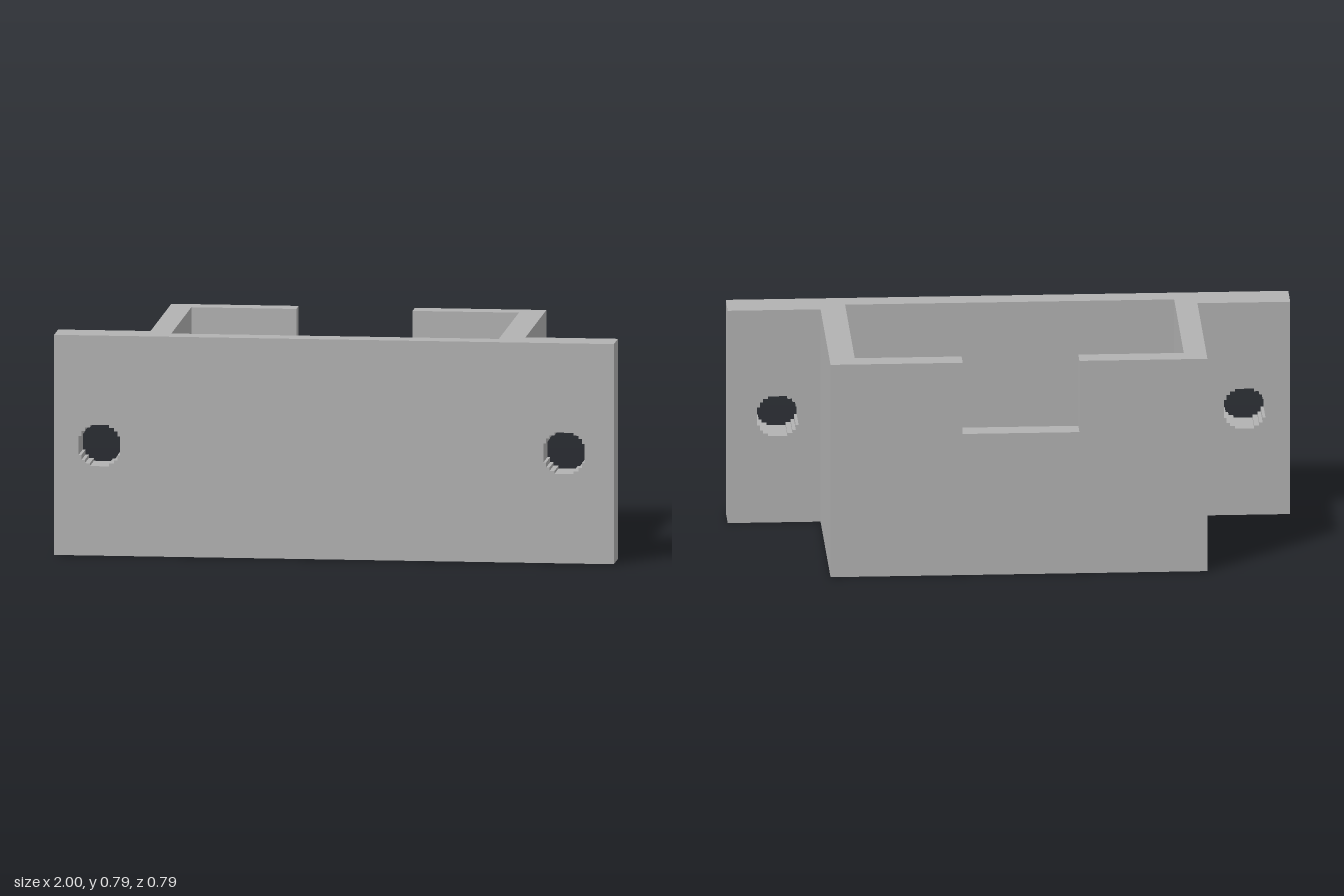
import * as THREE from 'three';

const H = 0.79, FRONT = 0.395, BACK = -0.395;
const OUT = 0.67;                                        // half width of the box
const IN = { x0: -0.59, x1: 0.58, z0: -0.32, z1: 0.315 }; // cavity
const FLOOR = 0.07, FLANGE_BACK = 0.265, HOLE_Y = 0.395;

// Closed path class (Shape or Path) from [x, y] pairs
const outline = (points, Type = THREE.Shape) =>
  new Type(points.map(([x, y]) => new THREE.Vector2(x, y)));

const rect = (x0, y0, x1, y1) => [[x0, y0], [x1, y0], [x1, y1], [x0, y1]];

// Stepped round screw hole, one quarter rotated four times
function steppedHole(cx, cy) {
  const quarter = [[0.074, 0.034], [0.064, 0.034], [0.064, 0.052], [0.052, 0.052],
    [0.052, 0.064], [0.034, 0.064], [0.034, 0.074]];
  const points = [];
  for (let i = 0; i < 4; i++) {
    const c = [1, 0, -1, 0][i], s = [0, 1, 0, -1][i];
    for (const [x, y] of quarter) points.push([cx + c * x - s * y, cy + s * x + c * y]);
  }
  return outline(points, THREE.Path);
}

export function createModel() {
  const group = new THREE.Group();
  group.name = 'mountingBox';
  const grey = new THREE.MeshStandardMaterial({ color: 0xb2b2b2 });
  grey.name = 'grey plastic';

  const add = (name, geometry) => {
    const mesh = new THREE.Mesh(geometry, grey);
    mesh.name = name;
    group.add(mesh);
    return mesh;
  };
  const block = (name, x0, x1, z0, z1) =>
    add(name, new THREE.BoxGeometry(x1 - x0, H, z1 - z0))
      .position.set((x0 + x1) / 2, H / 2, (z0 + z1) / 2);
  const extrude = (shape, depth) =>
    new THREE.ExtrudeGeometry(shape, { depth, bevelEnabled: false });

  // Front and side walls
  block('frontWall', -OUT, OUT, IN.z1, FRONT);
  block('leftWall', IN.x1, OUT, IN.z0, IN.z1);
  block('rightWall', -OUT, IN.x0, IN.z0, IN.z1);

  // Back wall with the cable notch in its top edge
  const back = outline([[-OUT, 0], [OUT, 0], [OUT, H], [0.2, H], [0.2, 0.525],
    [-0.215, 0.525], [-0.215, H], [-OUT, H]]);
  add('backWall', extrude(back, IN.z0 - BACK)).position.z = BACK;

  // Floor ledge around the rectangular opening (shape y becomes -z)
  const floor = outline(rect(IN.x0, -IN.z1, IN.x1, -IN.z0));
  floor.holes.push(outline(rect(-0.5, -0.25, 0.5, 0.255), THREE.Path));
  add('floorLedge', extrude(floor, FLOOR).rotateX(-Math.PI / 2));

  // Mounting flanges with screw holes
  for (const [name, x0, x1, holeX] of [
    ['leftFlange', OUT, 1, 0.822], ['rightFlange', -1, -OUT, -0.838]]) {
    const flange = outline(rect(x0, 0, x1, H));
    flange.holes.push(steppedHole(holeX, HOLE_Y));
    add(name, extrude(flange, FRONT - FLANGE_BACK)).position.z = FLANGE_BACK;
  }
  return group;
}
